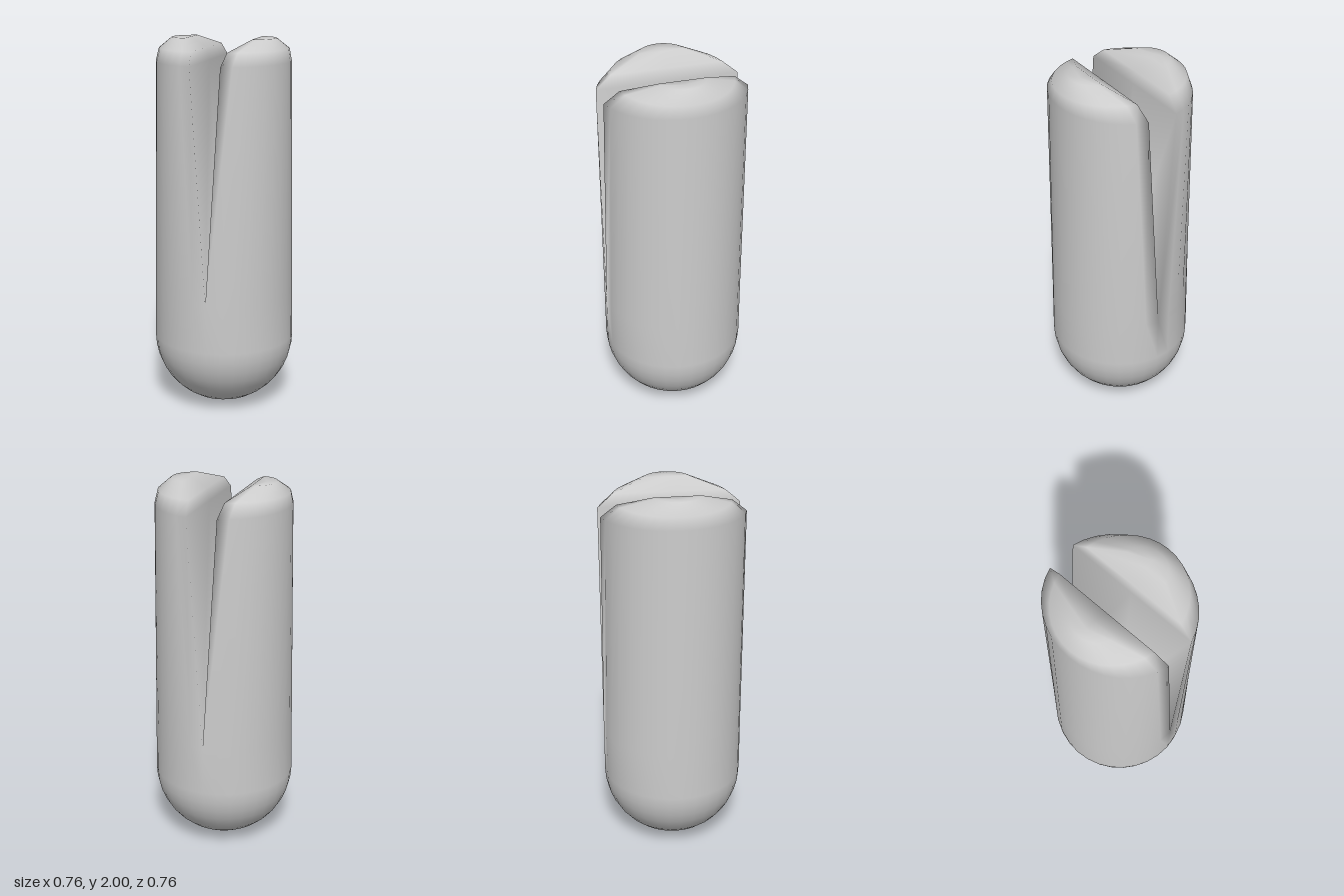
import * as THREE from 'three';
import { mergeGeometries, mergeVertices } from 'three/addons/utils/BufferGeometryUtils.js';

const R = 0.38, SLOT_Y = 0.64, SLOT_RX = 0.375, ARC = 16;

// Rounded foot: hemisphere plus a short barrel, slightly narrowed in x at the top
function footGeometry() {
  const pts = [];
  for (let i = 0; i <= 10; i++) {
    const a = (i / 10) * Math.PI / 2;
    pts.push(new THREE.Vector2(i ? R * Math.sin(a) : 0, R - R * Math.cos(a)));
  }
  pts.push(new THREE.Vector2(R, SLOT_Y));
  const g = new THREE.LatheGeometry(pts, ARC * 2);
  const p = g.attributes.position;
  for (let i = 0; i < p.count; i++) {
    if (p.getY(i) > SLOT_Y - 0.01) p.setX(i, p.getX(i) * SLOT_RX / R);
  }
  g.deleteAttribute('uv');
  g.deleteAttribute('normal');
  return g;
}

// One prong: D-shaped sections lofted upwards, closed by a small flat crown
function prongGeometry() {
  // y, inner x, outer x, half depth at the inner corners, cosine of the arc's end angle
  const sections = [
    [SLOT_Y, 0, SLOT_RX, R, 0],
    [1.88, 0.08, 0.355, 0.374, 0.225],
    [1.945, 0.093, 0.345, 0.295, 0.2],
    [2, 0.18, 0.28, 0.12, 0.1],
  ];
  const pos = [], index = [], n = ARC + 2;
  for (const [y, xi, xo, zc, c0] of sections) {
    const end = Math.acos(c0);
    for (let i = 0; i <= ARC; i++) {
      const a = end * (2 * i / ARC - 1);
      pos.push(xi + (xo - xi) * (Math.cos(a) - c0) / (1 - c0), y, zc * Math.sin(a) / Math.sin(end));
    }
    pos.push(xi, y, 0); // middle of the flat inner face
  }
  const last = sections.length - 1;
  for (let j = 0; j < last; j++) {
    for (let i = 0; i < n; i++) {
      const a = j * n + i, b = j * n + (i + 1) % n;
      index.push(a, a + n, b, b, a + n, b + n);
    }
  }
  const centre = pos.length / 3;
  pos.push(0.23, 2, 0);
  for (let i = 0; i < n; i++) index.push(centre, last * n + (i + 1) % n, last * n + i);

  const g = new THREE.BufferGeometry();
  g.setAttribute('position', new THREE.Float32BufferAttribute(pos, 3));
  g.setIndex(index);
  return g;
}

export function createModel() {
  const group = new THREE.Group();
  group.name = 'splitPeg';

  // Foot and both prongs are welded so the shading flows across the joins
  const parts = [footGeometry(), prongGeometry(), prongGeometry().rotateY(Math.PI)];
  const geometry = mergeVertices(mergeGeometries(parts), 1e-4);
  geometry.computeVertexNormals();

  const peg = new THREE.Mesh(geometry, new THREE.MeshStandardMaterial({ color: 0xcccccc }));
  peg.name = 'pegBody';
  group.add(peg);
  return group;
}
